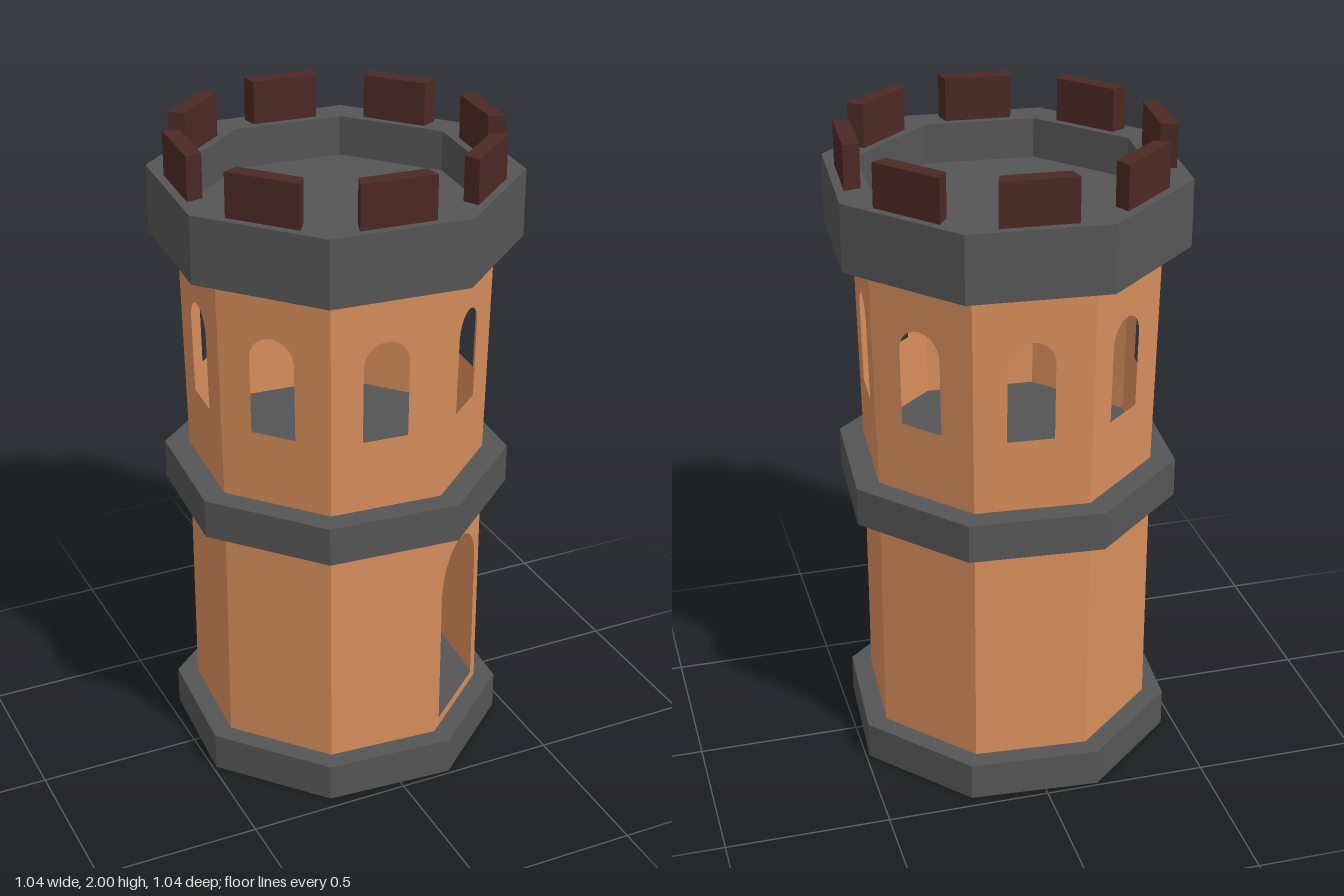
import * as THREE from 'three';

const SIDES = 8;
const STEP = (Math.PI * 2) / SIDES;
const TURN = THREE.MathUtils.degToRad(-4.2); // direction of the front face
const APOTHEM = Math.cos(STEP / 2);
const HALF_SIDE = Math.sin(STEP / 2);

const mat = (color) =>
  new THREE.MeshStandardMaterial({ color, flatShading: true, side: THREE.DoubleSide });

// Octagonal solid from a profile of [radius, height] pairs
function octagon(name, profile, material) {
  const points = profile.map(([r, y]) => new THREE.Vector2(r, y));
  const mesh = new THREE.Mesh(
    new THREE.LatheGeometry(points, SIDES, TURN - STEP / 2), material);
  mesh.name = name;
  return mesh;
}

// Round-topped opening centred on u
function arch(u, halfWidth, bottom, top) {
  const spring = top - halfWidth;
  const path = new THREE.Path();
  path.moveTo(u - halfWidth, bottom);
  path.lineTo(u + halfWidth, bottom);
  path.lineTo(u + halfWidth, spring);
  path.absarc(u, spring, halfWidth, 0, Math.PI, false);
  path.closePath();
  return path;
}

// One thin wall face, leaning from radius r0 at y0 to radius r1 at y1
function wallPanel(y0, r0, y1, r1, opening) {
  const a = r0 * HALF_SIDE, b = r1 * HALF_SIDE;
  const shape = new THREE.Shape([
    new THREE.Vector2(-a, y0), new THREE.Vector2(a, y0),
    new THREE.Vector2(b, y1), new THREE.Vector2(-b, y1),
  ]);
  if (opening) shape.holes.push(opening);
  const geometry = new THREE.ShapeGeometry(shape, 5);
  const pos = geometry.attributes.position;
  for (let i = 0; i < pos.count; i++) {
    const t = (pos.getY(i) - y0) / (y1 - y0);
    pos.setZ(i, THREE.MathUtils.lerp(r0, r1, t) * APOTHEM);
  }
  geometry.computeVertexNormals();
  return geometry;
}

export function createModel() {
  const tower = new THREE.Group();
  tower.name = 'tower';
  const brick = mat(0xd78d5b);
  const stone = mat(0x555555);
  const darkWood = mat(0x4b2923);

  // Base and middle band, whose tops are the floors, and the hollow crown
  tower.add(
    octagon('base', [[0.482, 0.003], [0.482, 0], [0.516, 0], [0.516, 0.118],
      [0, 0.118]], stone),
    octagon('underside', [[0, 0.003], [0.482, 0.003]], brick),
    octagon('middleBand', [[0, 0.845], [0.527, 0.845], [0.527, 0.965], [0, 0.965]], stone),
    octagon('crown', [[0, 1.737], [0.443, 1.737], [0.443, 1.662], [0.549, 1.662],
      [0.549, 1.867], [0.443, 1.867], [0.443, 1.743], [0, 1.743]], stone),
  );

  // Merlon, wider on its outer side
  const merlonShape = new THREE.Shape([
    new THREE.Vector2(-0.1, -0.433), new THREE.Vector2(-0.113, -0.482),
    new THREE.Vector2(0.113, -0.482), new THREE.Vector2(0.1, -0.433),
  ]);
  const merlonGeometry = new THREE.ExtrudeGeometry(merlonShape, { depth: 0.133, bevelEnabled: false });
  merlonGeometry.rotateX(-Math.PI / 2).translate(0, 1.867, 0);

  const plainGeometry = wallPanel(0.118, 0.451, 0.845, 0.451);
  const doorGeometry = wallPanel(0.118, 0.451, 0.845, 0.451, arch(0, 0.138, 0.148, 0.726));
  const windowGeometry = wallPanel(0.965, 0.451, 1.67, 0.466, arch(-0.007, 0.07, 1.19, 1.5));

  // Eight faces; the door is in the face left of the front
  for (let i = 0; i < SIDES; i++) {
    const hasDoor = i === 1;
    const parts = [
      [hasDoor ? 'doorWall' : 'lowerWall', hasDoor ? doorGeometry : plainGeometry, brick],
      ['windowWall', windowGeometry, brick],
      ['merlon', merlonGeometry, darkWood],
    ];
    for (const [name, geometry, material] of parts) {
      const mesh = new THREE.Mesh(geometry, material);
      mesh.name = name;
      mesh.rotation.y = TURN + i * STEP;
      tower.add(mesh);
    }
  }
  return tower;
}
